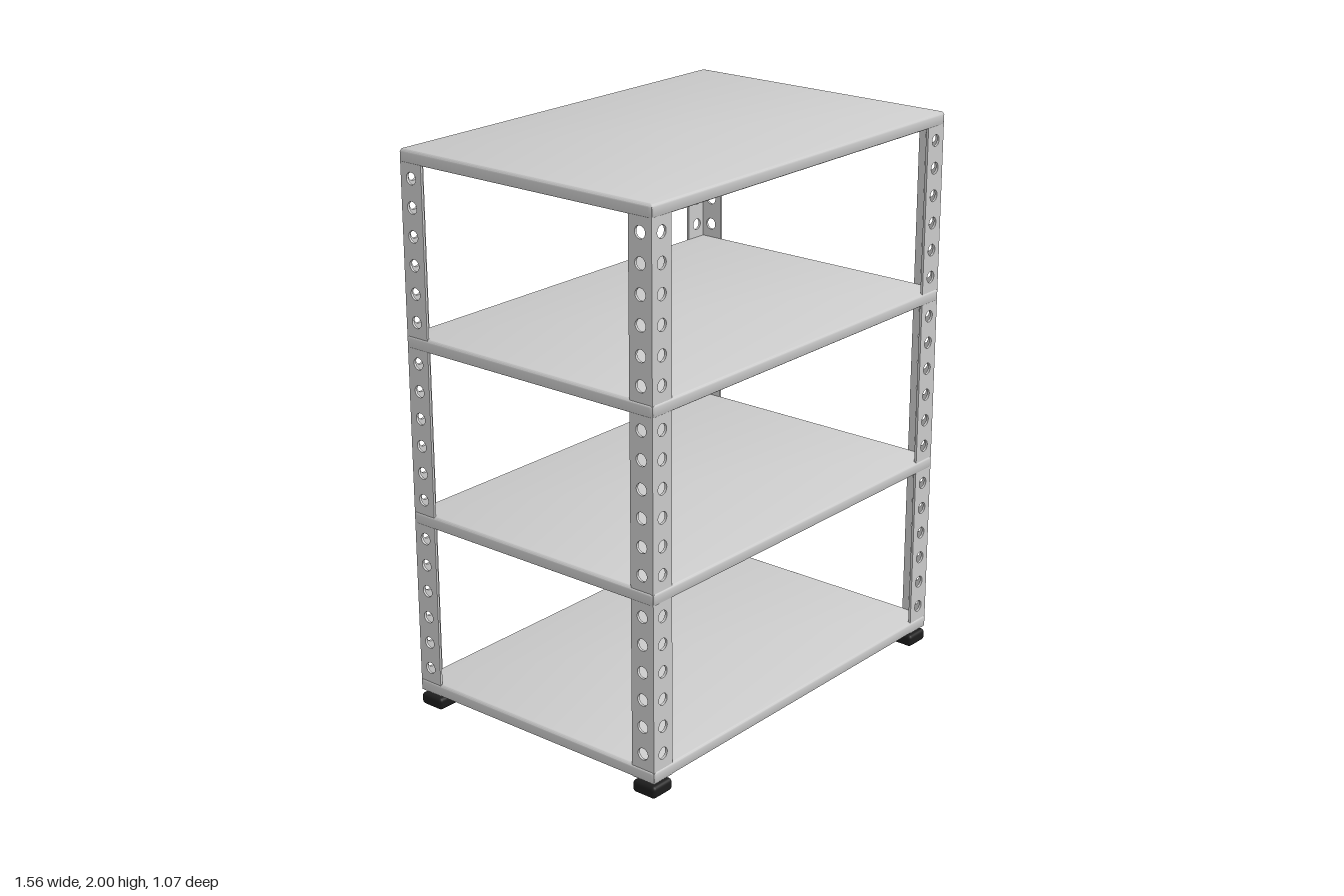
import * as THREE from 'three';
import { toCreasedNormals } from 'three/addons/utils/BufferGeometryUtils.js';
import { RoundedBoxGeometry } from 'three/addons/geometries/RoundedBoxGeometry.js';

const HX = 0.778, HZ = 0.535;              // half width and half depth of a shelf
const SHELF_TOPS = [2, 1.367, 0.735, 0.102];
const SHELF_H = 0.047;
const POST_W = 0.093, POST_T = 0.009, POST_BOTTOM = 0.057, POST_TOP = 1.99;

// Rounded-rectangle loop at a given inset, counter-clockwise seen from above
function ring(inset, y) {
  const r = Math.max(0.012 - inset, 0.001), steps = 3, pts = [];
  const cx = HX - inset - r, cz = HZ - inset - r;
  [[1, 1], [-1, 1], [-1, -1], [1, -1]].forEach(([sx, sz], q) => {
    for (let i = 0; i <= steps; i++) {
      const a = (q + i / steps) * Math.PI / 2;
      pts.push([sx * cx + r * Math.cos(a), y, sz * cz + r * Math.sin(a)]);
    }
  });
  return pts;
}

// Folded sheet tray: flat top, rounded rim, small inward lip, open below
function trayGeometry() {
  const r = 0.012, profile = [];
  for (let i = 0; i <= 4; i++) {
    const a = i / 4 * Math.PI / 2;
    profile.push([r * (1 - Math.sin(a)), -r * (1 - Math.cos(a))]);
  }
  for (let i = 0; i <= 4; i++) {
    const a = i / 4 * Math.PI / 2;
    profile.push([r * (1 - Math.cos(a)), -SHELF_H + r * (1 - Math.sin(a))]);
  }
  profile.push([0.034, -SHELF_H], [0.034, -SHELF_H + 0.006],
    [0.007, -SHELF_H + 0.006], [0.007, -0.007]);
  const loops = profile.map(([inset, y]) => ring(inset, y));
  const n = loops[0].length, pos = loops.flat(2), index = [];
  for (let k = 0; k < loops.length - 1; k++) {
    for (let i = 0; i < n; i++) {
      const j = (i + 1) % n, a = k * n + i, b = k * n + j;
      index.push(a, b, a + n, b, b + n, a + n);
    }
  }
  // Top panel and its underside
  const top = loops.length * n, under = top + 1, last = (loops.length - 1) * n;
  pos.push(0, 0, 0, 0, -0.007, 0);
  for (let i = 0; i < n; i++) {
    const j = (i + 1) % n;
    index.push(top, j, i, under, last + i, last + j);
  }
  const geo = new THREE.BufferGeometry();
  geo.setAttribute('position', new THREE.Float32BufferAttribute(pos, 3));
  geo.setIndex(index);
  return toCreasedNormals(geo, 0.7);
}

// One perforated flange of an angle post, six holes between each pair of shelves
function flangeGeometry() {
  const w = POST_W / 2;
  const shape = new THREE.Shape([
    new THREE.Vector2(-w, POST_BOTTOM), new THREE.Vector2(w, POST_BOTTOM),
    new THREE.Vector2(w, POST_TOP), new THREE.Vector2(-w, POST_TOP)]);
  for (const shelfTop of SHELF_TOPS.slice(0, 3)) {
    for (let i = 0; i < 6; i++) {
      const hole = new THREE.Path();
      hole.absarc(0, shelfTop - 0.094 - i * 0.0977, 0.021, 0, Math.PI * 2, true);
      shape.holes.push(hole);
    }
  }
  const geo = new THREE.ExtrudeGeometry(shape, { depth: POST_T, bevelEnabled: false, curveSegments: 20 });
  geo.translate(0, 0, -POST_T / 2);
  return toCreasedNormals(geo, 0.7);
}

export function createModel() {
  const model = new THREE.Group();
  model.name = 'shelvingUnit';
  const metal = new THREE.MeshStandardMaterial({ color: 0xcccccc });
  const rubber = new THREE.MeshStandardMaterial({ color: 0x1c1c1c });
  const add = (parent, name, geo, mat, x, y, z) => {
    const mesh = new THREE.Mesh(geo, mat);
    mesh.name = name;
    mesh.position.set(x, y, z);
    parent.add(mesh);
    return mesh;
  };

  // Shelves
  const tray = trayGeometry();
  SHELF_TOPS.forEach((y, i) => add(model, `shelf${i + 1}`, tray, metal, 0, y, 0));

  // Corner posts with their feet
  const flange = flangeGeometry();
  const pad = new RoundedBoxGeometry(0.096, 0.04, 0.096, 3, 0.013);
  const stem = new THREE.CylinderGeometry(0.024, 0.024, 0.026, 20);
  const ox = HX - 0.003, oz = HZ - 0.003;
  for (const sx of [-1, 1]) {
    for (const sz of [-1, 1]) {
      const side = (sz > 0 ? 'front' : 'back') + (sx > 0 ? 'Left' : 'Right');
      const post = new THREE.Group();
      post.name = side + 'Post';
      model.add(post);
      add(post, 'wideFlange', flange, metal, sx * (ox - POST_W / 2), 0, sz * (oz - POST_T / 2));
      add(post, 'sideFlange', flange, metal, sx * (ox - POST_T / 2), 0, sz * (oz - POST_W / 2))
        .rotation.y = Math.PI / 2;

      const foot = new THREE.Group();
      foot.name = side + 'Foot';
      foot.position.set(sx * (HX - 0.048), 0, sz * (HZ - 0.048));
      model.add(foot);
      add(foot, 'footPad', pad, rubber, 0, 0.022, 0).scale.y = 1.1;
      add(foot, 'footStem', stem, rubber, 0, 0.05, 0);
    }
  }
  return model;
}
